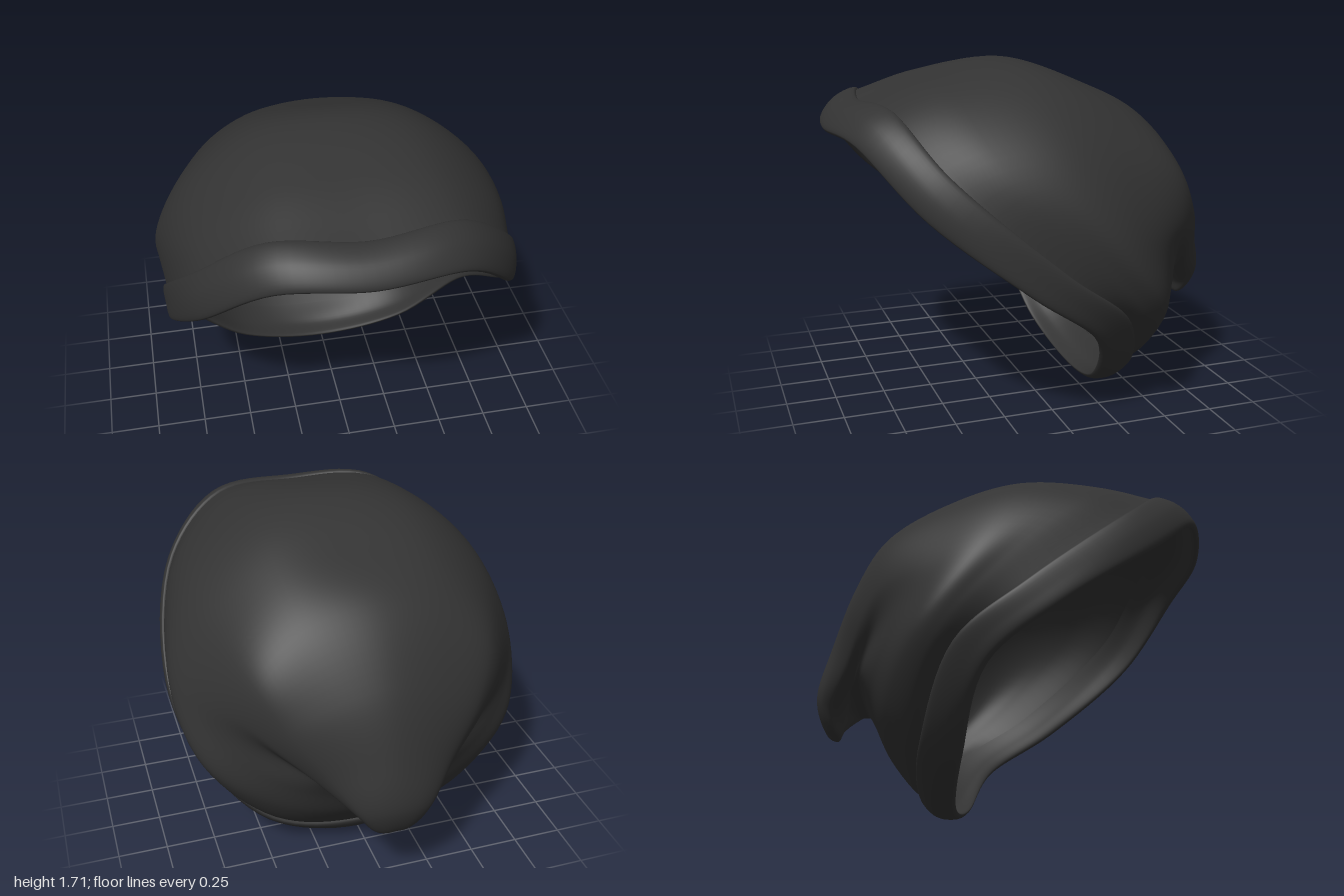
import * as THREE from 'three';

const material = new THREE.MeshStandardMaterial({ color: 0x333333, side: THREE.DoubleSide });

// Half a cross-section from top centre, round the left side, to bottom centre; mirrored to a full ring
function ring(...half) {
  const pts = half.map(p => new THREE.Vector3(...p));
  const mirrored = pts.slice(1, -1).reverse().map(p => new THREE.Vector3(-p.x, p.y, p.z));
  return [...pts, ...mirrored];
}

// Shrink a ring towards its own centre
function shrink(points, k) {
  const c = points.reduce((s, p) => s.add(p), new THREE.Vector3()).divideScalar(points.length);
  return points.map(p => p.clone().sub(c).multiplyScalar(k).add(c));
}

// Smooth skin through a row of rings
function skin(name, rings, around, along) {
  const loops = rings.map(r => new THREE.CatmullRomCurve3(r, true));
  const pos = [], index = [];
  const columns = [];
  for (let i = 0; i < around; i++) {
    columns.push(new THREE.CatmullRomCurve3(loops.map(l => l.getPoint(i / around))));
  }
  for (let j = 0; j <= along; j++) {
    for (let i = 0; i < around; i++) {
      pos.push(...columns[i].getPoint(j / along).toArray());
      if (j === along) continue;
      const a = j * around + i, b = j * around + (i + 1) % around;
      index.push(a, b, a + around, b, b + around, a + around);
    }
  }
  const geo = new THREE.BufferGeometry();
  geo.setAttribute('position', new THREE.Float32BufferAttribute(pos, 3));
  geo.setIndex(index);
  geo.computeVertexNormals();
  const mesh = new THREE.Mesh(geo, material);
  mesh.name = name;
  return mesh;
}

export function createModel() {
  const group = new THREE.Group();
  group.name = 'slouchCap';

  // Cuff: lip, puffed middle and back edge
  const lip = ring([0, 1.4, 1], [0.43, 1.38, 0.92], [0.73, 1.08, 0.67], [0.865, 0.72, 0.22],
    [0.775, 0.45, -0.13], [0.46, 0.12, -0.25], [0, 0, -0.3]);
  const middle = ring([0, 1.49, 0.94], [0.45, 1.475, 0.85], [0.75, 1.19, 0.64], [0.88, 0.76, 0.15],
    [0.795, 0.5, -0.18], [0.48, 0.13, -0.34], [0, 0.01, -0.4]);
  const edge = ring([0, 1.53, 0.83], [0.43, 1.525, 0.75], [0.735, 1.27, 0.57], [0.88, 0.81, 0.06],
    [0.79, 0.55, -0.27], [0.47, 0.19, -0.43], [0, 0.1, -0.47]);
  group.add(skin('cuff',
    [shrink(edge, 0.96), shrink(middle, 0.95), shrink(lip, 0.97), lip, middle, edge, shrink(edge, 0.97)], 96, 42));

  // Crown: full dome that narrows into a drooping tip at the back
  const dome = [
    shrink(edge, 0.985),
    ring([0, 1.635, 0.5], [0.4, 1.6, 0.47], [0.74, 1.34, 0.35], [0.885, 0.94, -0.02],
      [0.8, 0.56, -0.36], [0.47, 0.26, -0.5], [0, 0.18, -0.53]),
    ring([0, 1.705, 0.08], [0.4, 1.635, 0.05], [0.74, 1.36, 0], [0.893, 0.95, -0.18],
      [0.79, 0.6, -0.45], [0.44, 0.38, -0.6], [0, 0.32, -0.64]),
    ring([0, 1.585, -0.28], [0.38, 1.53, -0.3], [0.68, 1.29, -0.31], [0.8, 0.95, -0.38],
      [0.68, 0.7, -0.54], [0.38, 0.53, -0.68], [0, 0.475, -0.715]),
    ring([0, 1.425, -0.59], [0.34, 1.35, -0.6], [0.57, 1.16, -0.63], [0.63, 0.92, -0.62],
      [0.5, 0.74, -0.66], [0.28, 0.59, -0.75], [0, 0.555, -0.765]),
  ];
  const tip = [
    ring([0, 1.12, -0.825], [0.26, 1.06, -0.81], [0.46, 0.94, -0.775], [0.49, 0.81, -0.735],
      [0.37, 0.67, -0.745], [0.21, 0.57, -0.79], [0, 0.55, -0.8]),
    ring([0, 0.82, -0.945], [0.18, 0.78, -0.92], [0.3, 0.71, -0.87], [0.32, 0.64, -0.82],
      [0.24, 0.575, -0.81], [0.12, 0.53, -0.825], [0, 0.52, -0.835]),
    ring([0, 0.56, -1], [0.11, 0.55, -0.985], [0.17, 0.52, -0.95], [0.17, 0.49, -0.91],
      [0.13, 0.46, -0.88], [0.06, 0.45, -0.865], [0, 0.45, -0.86]),
    ring([0, 0.41, -0.95], [0.05, 0.405, -0.945], [0.08, 0.4, -0.93], [0.09, 0.395, -0.91],
      [0.08, 0.39, -0.895], [0.05, 0.39, -0.885], [0, 0.39, -0.88]),
  ];
  const end = shrink(tip[3], 0.02);
  end.forEach(p => { p.y = 0.38; });
  group.add(skin('crown', [...dome, ...tip, end], 96, 72));

  return group;
}
